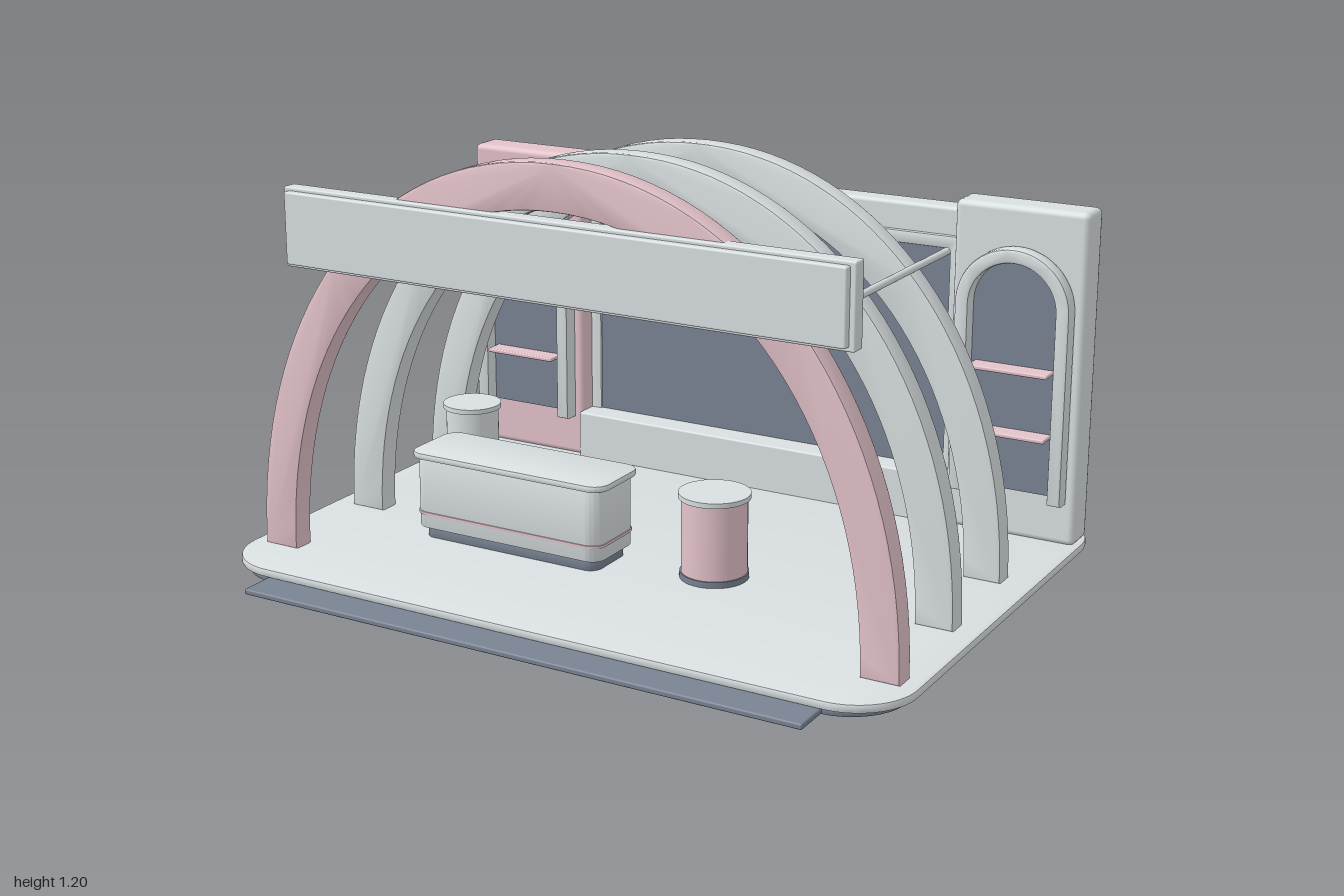
import * as THREE from 'three';
import { toCreasedNormals } from 'three/addons/utils/BufferGeometryUtils.js';
import { RoundedBoxGeometry } from 'three/addons/geometries/RoundedBoxGeometry.js';

const mat = (name, color) => {
  const m = new THREE.MeshStandardMaterial({ color });
  m.name = name;
  return m;
};

export function createModel() {
  const light = mat('pale grey', 0xd9dfe1);
  const pink = mat('soft pink', 0xe3c3ca);
  const dark = mat('slate', 0x798393);
  const root = new THREE.Group();
  root.name = 'exhibitionBooth';

  const add = (name, geometry, material, x = 0, y = 0, z = 0, parent = root) => {
    const mesh = new THREE.Mesh(geometry, material);
    mesh.name = name;
    mesh.position.set(x, y, z);
    parent.add(mesh);
    return mesh;
  };

  // Box given by its limits, with softened edges
  const box = (name, material, [x0, x1], [y0, y1], [z0, z1], r = 0.006, parent = root) =>
    add(name, new RoundedBoxGeometry(x1 - x0, y1 - y0, z1 - z0, 2, r), material,
      (x0 + x1) / 2, (y0 + y1) / 2, (z0 + z1) / 2, parent);

  // Bevelled extrusion that keeps the drawn outline as its outer size, z from 0 to depth
  const slab = (shape, depth, bevel) => {
    const g = new THREE.ExtrudeGeometry(shape, {
      depth: depth - 2 * bevel, curveSegments: 16, bevelEnabled: bevel > 0,
      bevelThickness: bevel, bevelSize: bevel, bevelOffset: -bevel, bevelSegments: 2,
    });
    g.translate(0, 0, bevel);
    return toCreasedNormals(g, 0.6);
  };

  const roundedRect = (w, h, r) => {
    const s = new THREE.Shape();
    const x = w / 2, y = h / 2;
    s.absarc(x - r, y - r, r, 0, Math.PI / 2);
    s.absarc(-x + r, y - r, r, Math.PI / 2, Math.PI);
    s.absarc(-x + r, -y + r, r, Math.PI, Math.PI * 1.5);
    s.absarc(x - r, -y + r, r, Math.PI * 1.5, Math.PI * 2);
    s.closePath();
    return s;
  };

  // Horizontal rounded plate
  const plate = (name, material, w, d, r, y0, y1, x, z, bevel = 0.006, parent = root) => {
    const g = slab(roundedRect(w, d, r), y1 - y0, bevel);
    g.rotateX(-Math.PI / 2);
    return add(name, g, material, x, y0, z, parent);
  };

  // Floor and front step
  plate('floorUnderside', dark, 1.95, 1.41, 0.16, 0, 0.02, 0, -0.04, 0.003);
  plate('floor', light, 2, 1.445, 0.17, 0.016, 0.04, 0, -0.048);
  box('frontStep', dark, [-0.825, 0.825], [0, 0.016], [0.655, 0.767], 0.005);

  // Three arches, each smaller toward the back
  const archCurve = (a, b, n = 64) => Array.from({ length: n + 1 }, (_, i) => {
    const t = Math.PI * i / n, p = 2 / 2.08;
    const c = Math.cos(t), s = Math.max(0, Math.sin(t));
    return new THREE.Vector2(Math.sign(c) * Math.abs(c) ** p * a, s ** p * b);
  });
  [
    ['frontArch', pink, 0.955, 1.2, 0.45],
    ['middleArch', light, 0.935, 1.16, 0.085],
    ['rearArch', light, 0.915, 1.13, -0.275],
  ].forEach(([name, material, a, top, z]) => {
    const b = top - 0.04;
    const shape = new THREE.Shape([
      ...archCurve(a, b), ...archCurve(a - 0.105, b - 0.122).reverse(),
    ]);
    add(name, slab(shape, 0.065, 0.006), material, 0, 0.04, z);
  });

  // Header board and its two support rods
  box('headerFrame', light, [-0.825, 0.825], [0.845, 1.06], [0.487, 0.53], 0.005);
  box('headerFace', light, [-0.81, 0.81], [0.856, 1.05], [0.52, 0.55], 0.005);
  for (const side of [-1, 1]) {
    const rod = new THREE.CylinderGeometry(0.01, 0.01, 0.755, 16);
    rod.rotateX(Math.PI / 2);
    add('supportRod', rod, light, side * 0.71, 0.906, 0.113);
  }

  // Back wall, screen and low bench
  box('backWall', light, [-0.97, 0.97], [0.035, 0.935], [-0.715, -0.64], 0.012);
  const frame = roundedRect(1.215, 0.74, 0.01);
  frame.holes.push(new THREE.Path(roundedRect(1.135, 0.67, 0.01).getPoints(4)));
  add('screenFrame', slab(frame, 0.025, 0.003), light, 0, 0.485, -0.65);
  add('screen', new THREE.BoxGeometry(1.14, 0.68, 0.009), dark, 0, 0.485, -0.637);
  box('bench', light, [-0.605, 0.605], [0.035, 0.18], [-0.65, -0.555], 0.006);

  // Side pillars with arched display niches
  const niche = (w, top, bottom) => {
    const s = new THREE.Shape();
    s.moveTo(-w, bottom);
    s.lineTo(w, bottom);
    s.absarc(0, top - w, w, 0, Math.PI);
    s.closePath();
    return s;
  };
  for (const [side, material] of [[-1, pink], [1, light]]) {
    const group = new THREE.Group();
    group.name = side < 0 ? 'rightPillar' : 'leftPillar';
    group.position.x = side * 0.792;
    root.add(group);
    box('pillar', material, [-0.192, 0.192], [0.035, 0.975], [-0.68, -0.573], 0.018, group);

    const ring = new THREE.Shape();
    ring.moveTo(0.125, 0.16);
    ring.lineTo(0.165, 0.16);
    ring.absarc(0, 0.7, 0.165, 0, Math.PI);
    ring.lineTo(-0.165, 0.16);
    ring.lineTo(-0.125, 0.16);
    ring.absarc(0, 0.7, 0.125, Math.PI, 0, true);
    ring.closePath();
    add('nicheSurround', slab(ring, 0.052, 0.008), light, 0, 0, -0.576, group);
    add('nichePanel', slab(niche(0.13, 0.83, 0.175), 0.008, 0), dark, 0, 0, -0.574, group);
    for (const y of [0.345, 0.527]) {
      box('nicheShelf', pink, [-0.115, 0.115], [y - 0.006, y + 0.006], [-0.575, -0.51], 0.004, group);
    }
  }

  // Reception counter
  const counter = new THREE.Group();
  counter.name = 'counter';
  root.add(counter);
  plate('counterPlinth', dark, 0.56, 0.17, 0.035, 0.035, 0.075, -0.33, 0.168, 0.003, counter);
  plate('counterBody', light, 0.595, 0.2, 0.04, 0.07, 0.275, -0.33, 0.168, 0.005, counter);
  plate('counterStripe', pink, 0.601, 0.206, 0.042, 0.11, 0.118, -0.33, 0.168, 0.001, counter);
  plate('counterTop', light, 0.625, 0.215, 0.045, 0.27, 0.289, -0.33, 0.168, 0.005, counter);

  // Round pedestals
  const pedestal = (name, material, x, z, r, top) => {
    const g = new THREE.Group();
    g.name = name;
    g.position.set(x, 0, z);
    root.add(g);
    const drum = (part, m, radius, y0, y1) =>
      add(part, new THREE.CylinderGeometry(radius, radius, y1 - y0, 40), m, 0, (y0 + y1) / 2, 0, g);
    drum('pedestalFoot', dark, r + 0.004, 0.035, 0.057);
    drum('pedestalBody', material, r, 0.057, top - 0.012);
    drum('pedestalTop', light, r + 0.008, top - 0.014, top);
  };
  pedestal('tallPedestal', light, -0.71, -0.138, 0.076, 0.309);
  pedestal('shortPedestal', pink, 0.235, 0.112, 0.089, 0.277);

  return root;
}
